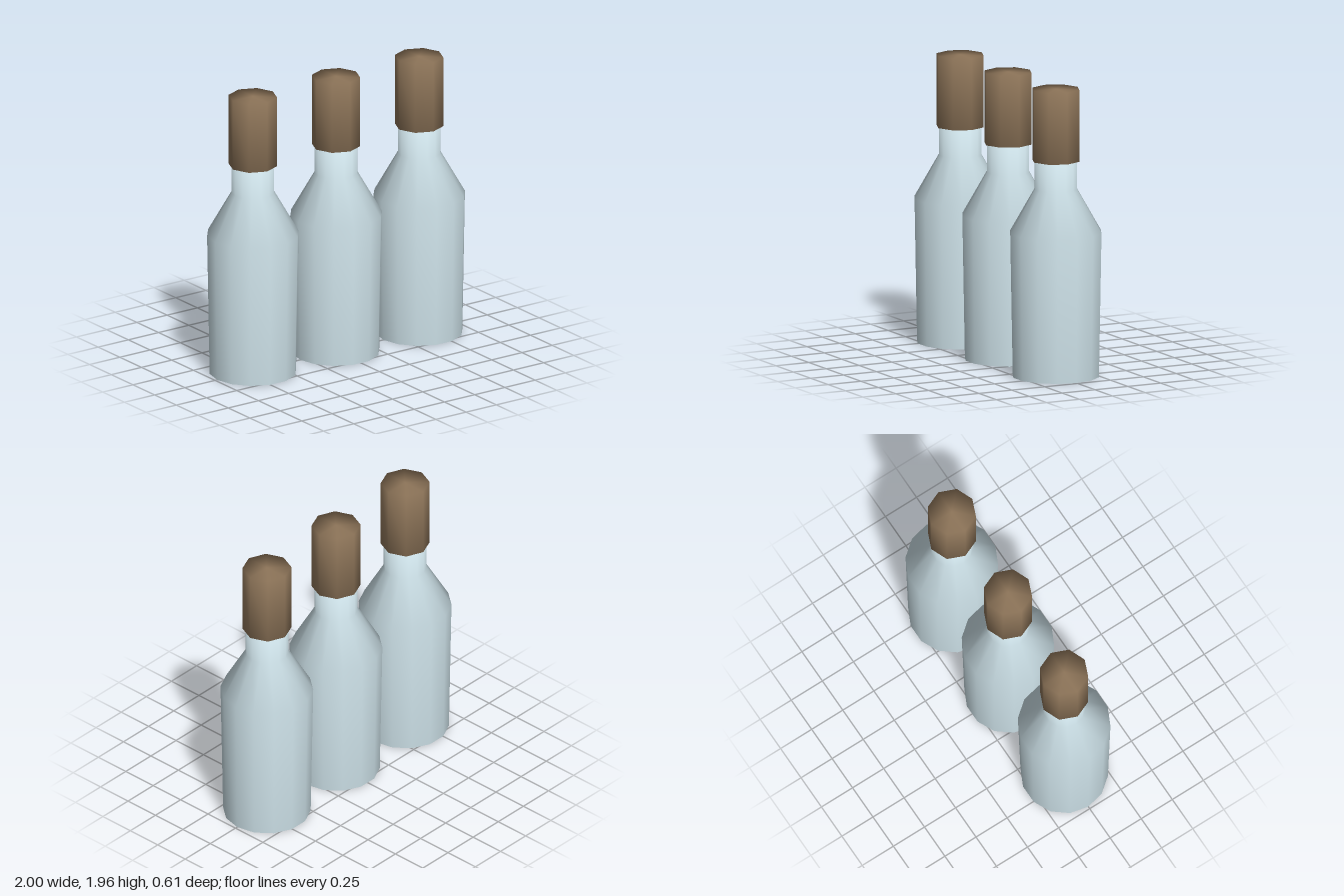
import * as THREE from 'three';

const glass = new THREE.MeshStandardMaterial({ color: 0xcbdfe6, side: THREE.DoubleSide });
const wood = new THREE.MeshStandardMaterial({ color: 0x8f765a });

// Smooth turned solid from [radius, height] pairs, listed bottom to top
function turned(name, profile, sides, material) {
  const points = profile.map(([r, y]) => new THREE.Vector2(r, y));
  const mesh = new THREE.Mesh(new THREE.LatheGeometry(points, sides, Math.PI / 2), material);
  mesh.name = name;
  return mesh;
}

function createBottle() {
  const bottle = new THREE.Group();
  bottle.name = 'bottle';

  // Shallow recessed base, slightly flared body, sloped shoulder, straight neck
  bottle.add(turned('bottleBody', [
    [0, 0.05], [0.285, 0.05], [0.295, 0],
    [0.3125, 0.985], [0.145, 1.28], [0.145, 1.5], [0, 1.5],
  ], 14, glass));

  // Eight-sided stopper covering the end of the neck
  bottle.add(turned('stopper', [
    [0, 1.473], [0.165, 1.473], [0.165, 1.963], [0, 1.963],
  ], 8, wood));

  return bottle;
}

export function createModel() {
  const model = new THREE.Group();
  model.name = 'bottleRow';
  for (const x of [-0.6875, 0, 0.6875]) {
    const bottle = createBottle();
    bottle.position.x = x;
    model.add(bottle);
  }
  return model;
}
